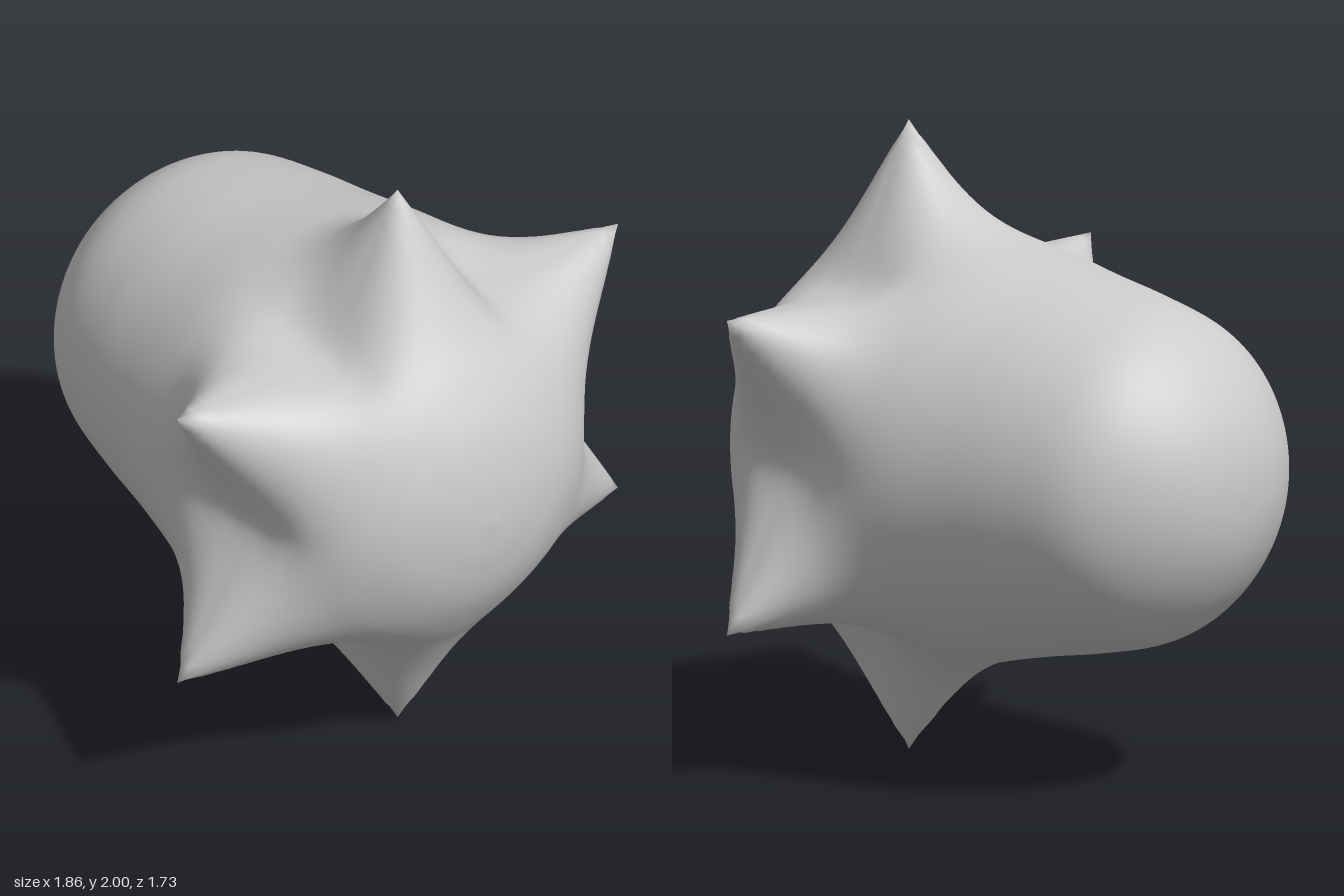
import * as THREE from 'three';

const AXIS_Y = 1, TIP_X = 0.44, SPIKES = 6, SIDES = 192;
const HALF = Math.PI / SPIKES; // angle from a spike to the valley beside it

// Lengthwise profiles: x, radius along a spike, radius along a valley
const rearProfile = [
  [-0.93, 0, 0], [-0.918, 0.12, 0.12], [-0.88, 0.24, 0.24], [-0.8, 0.37, 0.37],
  [-0.7, 0.468, 0.468], [-0.6, 0.523, 0.523], [-0.4, 0.573, 0.573], [-0.2, 0.61, 0.61],
  [0, 0.655, 0.65], [0.1, 0.685, 0.66], [0.2, 0.74, 0.655], [0.3, 0.83, 0.63],
  [0.38, 0.925, 0.61], [TIP_X, 1, 0.6],
];
const noseProfile = [
  [TIP_X, 1, 0.6], [0.5, 0.9, 0.59], [0.6, 0.725, 0.572], [0.7, 0.57, 0.53],
  [0.78, 0.46, 0.455], [0.865, 0.31, 0.31], [0.91, 0.15, 0.15], [0.925, 0, 0],
];

const sample = (points, n) => new THREE.CatmullRomCurve3(
  points.map((p) => new THREE.Vector3(...p)), false, 'centripetal').getSpacedPoints(n);

// Straight-sided star outline as a function of the angle from a spike
const star = (a) => 0.5 / Math.sin(Math.PI / 6 + Math.min(a, Math.PI / 3));

// 1 on a spike's ridge, 0 in the valley; the ridge rounds off away from the tip
function ridge(angle, x) {
  const step = 2 * HALF;
  const a = Math.abs(angle - step * Math.round(angle / step));
  const soft = (v) => v - HALF * Math.pow(v / HALF, 6) / 6; // rounded valley
  const round = Math.min(Math.abs(x - TIP_X), 0.5);
  const low = star(Math.hypot(soft(HALF), round));
  return (star(Math.hypot(soft(a), round)) - low) / (star(round) - low);
}

function spikedBodyGeometry() {
  const rings = [...sample(rearProfile, 64), ...sample(noseProfile, 44).slice(1)];
  const first = rings.shift(), last = rings.pop();
  const pos = [], index = [];
  for (const { x, y: tip, z: valley } of rings) {
    for (let j = 0; j < SIDES; j++) {
      const a = (j / SIDES) * Math.PI * 2;
      const r = valley + (tip - valley) * ridge(a, x);
      pos.push(x, AXIS_Y + r * Math.cos(a), r * Math.sin(a));
    }
  }
  // End poles
  const rear = pos.length / 3, nose = rear + 1;
  pos.push(first.x, AXIS_Y, 0, last.x, AXIS_Y, 0);
  const end = (rings.length - 1) * SIDES;
  for (let j = 0; j < SIDES; j++) {
    const k = (j + 1) % SIDES;
    index.push(rear, k, j, nose, end + j, end + k);
    for (let i = 0; i < end; i += SIDES) {
      index.push(i + j, i + k, i + SIDES + j, i + k, i + SIDES + k, i + SIDES + j);
    }
  }
  const geo = new THREE.BufferGeometry();
  geo.setAttribute('position', new THREE.Float32BufferAttribute(pos, 3));
  geo.setIndex(index);
  geo.computeVertexNormals();
  return geo;
}

export function createModel() {
  const group = new THREE.Group();
  group.name = 'spikedCapsule';
  // Smooth rounded body with a ring of six spikes drawn out of it
  const body = new THREE.Mesh(spikedBodyGeometry(),
    new THREE.MeshStandardMaterial({ color: 0xcccccc }));
  body.name = 'spikedBody';
  group.add(body);
  return group;
}
